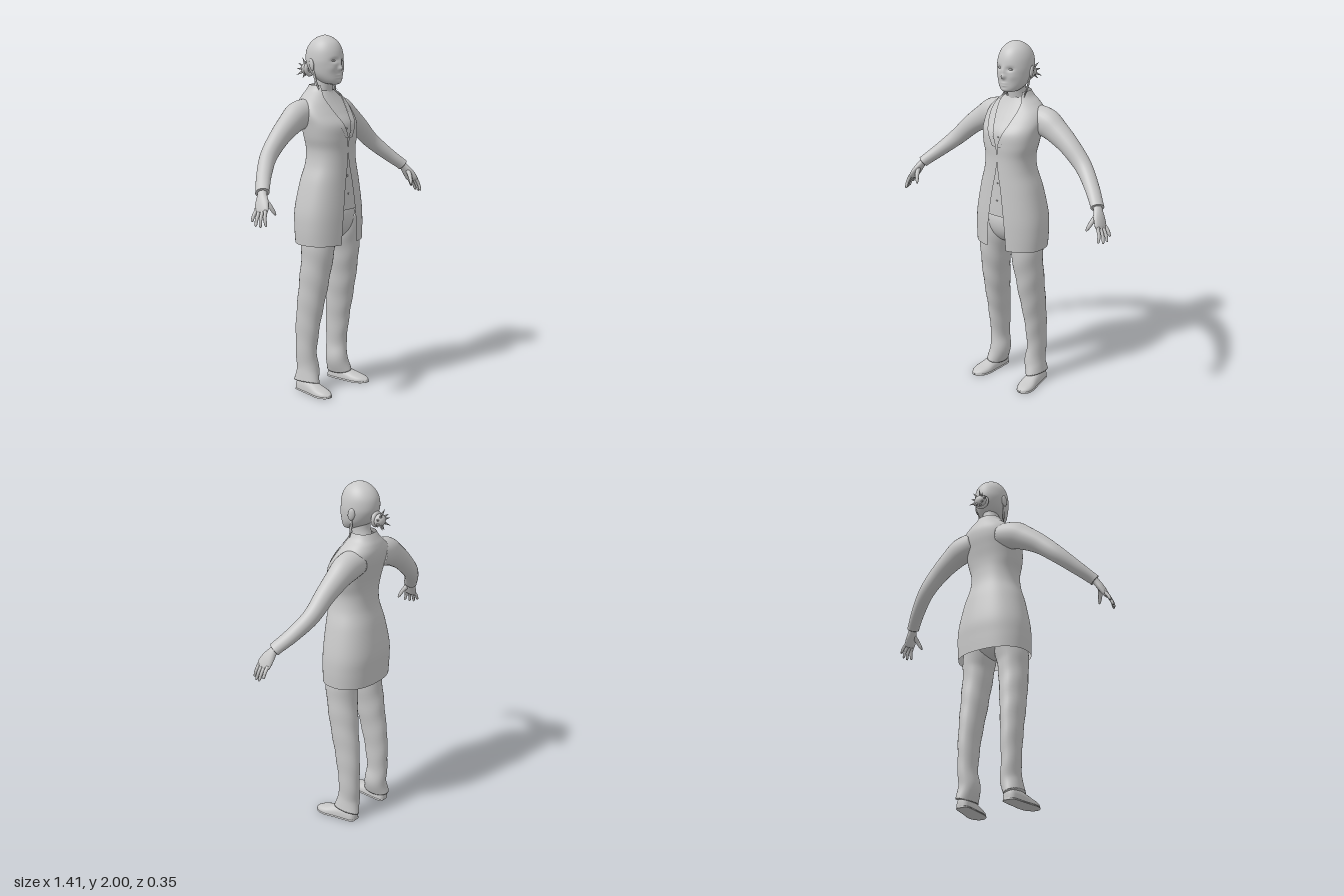
import * as THREE from 'three';

const skinAndCloth = new THREE.MeshStandardMaterial({ color: 0xc8c8c8, side: THREE.DoubleSide });
skinAndCloth.name = 'plain grey';
const V = (x, y, z) => new THREE.Vector3(x, y, z);
const spow = (v, e) => Math.sign(v) * Math.pow(Math.abs(v), e);

function part(name, geometry, parent) {
  const mesh = new THREE.Mesh(geometry, skinAndCloth);
  mesh.name = name;
  parent.add(mesh);
  return mesh;
}

// Smooth interpolation between the rows of a small section table
function sample(rows, u) {
  const i = Math.min(Math.floor(u), rows.length - 2), t = u - i;
  const row = k => rows[Math.max(0, Math.min(rows.length - 1, k))];
  return rows[0].map((_, c) => {
    const [a, b, d, e] = [row(i - 1)[c], row(i)[c], row(i + 1)[c], row(i + 2)[c]];
    return b + 0.5 * t * (d - a + t * (2 * a - 5 * b + 4 * d - e + t * (3 * (b - d) + e - a)));
  });
}

// Skin a list of point rings; closed rings wrap round, caps fill both ends
function loft(rings, closed = true, caps = closed) {
  const n = rings[0].length, pos = [], idx = [];
  rings.forEach(r => r.forEach(p => pos.push(p.x, p.y, p.z)));
  for (let i = 0; i < rings.length - 1; i++) {
    for (let j = 0; j < (closed ? n : n - 1); j++) {
      const k = (j + 1) % n, a = i * n, b = a + n;
      idx.push(a + j, a + k, b + k, a + j, b + k, b + j);
    }
  }
  if (caps) {
    [0, rings.length - 1].forEach(r => {
      const mid = rings[r].reduce((s, p) => s.add(p), V(0, 0, 0)).divideScalar(n);
      const m = pos.length / 3;
      pos.push(mid.x, mid.y, mid.z);
      for (let j = 0; j < n; j++) {
        const a = r * n + j, b = r * n + (j + 1) % n;
        r ? idx.push(m, a, b) : idx.push(m, b, a);
      }
    });
  }
  const g = new THREE.BufferGeometry();
  g.setAttribute('position', new THREE.Float32BufferAttribute(pos, 3));
  g.setIndex(idx);
  g.computeVertexNormals();
  return g;
}

// Tapered limb through rows of [x, y, z, depth radius, width radius]
function limb(rows, sides = 20, steps = 6, wrinkle = 0) {
  const count = (rows.length - 1) * steps, rings = [];
  for (let i = 0; i <= count; i++) {
    const u = i / steps, [x, y, z, rd, rw] = sample(rows, u);
    const p = sample(rows, Math.max(0, u - 0.1)), q = sample(rows, Math.min(rows.length - 1, u + 0.1));
    const t = V(q[0] - p[0], q[1] - p[1], q[2] - p[2]).normalize();
    const n1 = V(0, 0, 1).addScaledVector(t, -t.z).normalize(), n2 = t.clone().cross(n1);
    rings.push(Array.from({ length: sides }, (_, j) => {
      const a = j / sides * Math.PI * 2;
      const w = 1 + wrinkle * Math.sin(y * 42 + 2 * Math.sin(a));
      return V(x, y, z).addScaledVector(n1, Math.cos(a) * rd * w).addScaledVector(n2, Math.sin(a) * rw * w);
    }));
  }
  return loft(rings);
}

// Torso sections: y, half width, front z, back z, half width of the jacket opening
const torso = [
  [0.86, 0.212, 0.175, -0.13, 0.066], [0.95, 0.216, 0.176, -0.135, 0.06],
  [1.05, 0.21, 0.175, -0.137, 0.05], [1.2, 0.178, 0.168, -0.115, 0.028],
  [1.3, 0.147, 0.163, -0.092, 0.008], [1.38, 0.14, 0.16, -0.088, 0.001],
  [1.45, 0.157, 0.162, -0.095, 0.006], [1.52, 0.168, 0.155, -0.112, 0.03],
  [1.58, 0.175, 0.115, -0.127, 0.052], [1.63, 0.16, 0.08, -0.131, 0.066],
  [1.67, 0.12, 0.055, -0.122, 0.07], [1.7, 0.085, 0.04, -0.108, 0.06],
  [1.73, 0.068, 0.03, -0.092, 0.055],
];
const E = 0.87;
function torsoPoint([y, rx, zf, zb], a, off) {
  const cz = zb + (zf - zb) * 0.52, c = Math.cos(a);
  return V((rx + off) * spow(Math.sin(a), E), y, cz + ((c > 0 ? zf - cz : cz - zb) + off) * spow(c, E));
}
const angleAt = (row, x) => Math.asin(Math.pow(Math.min(0.98, Math.max(0.001, x) / row[1]), 1 / E));

// Strip of torso surface from u0 to u1 between two angles given per row
function torsoStrip(u0, u1, range, off, columns) {
  const rings = [];
  for (let i = 0; i <= 70; i++) {
    const u = u0 + (u1 - u0) * i / 70, row = sample(torso, u), [a, b] = range(row, i / 70);
    rings.push(Array.from({ length: columns + 1 }, (_, j) => torsoPoint(row, a + (b - a) * j / columns, off)));
  }
  return loft(rings, false);
}

function buildClothes(g) {
  part('jacket', torsoStrip(0, 12, r => [angleAt(r, r[4]), Math.PI * 2 - angleAt(r, r[4])], 0, 72), g);
  part('shirt', torsoStrip(2, 11, () => [0, Math.PI * 2], -0.01, 56), g);
  part('trouserTop', new THREE.SphereGeometry(1, 32, 20).scale(0.17, 0.14, 0.128).translate(0, 1.0, 0.025), g);
  // Shirt buttons
  for (const [y, z] of [[1.5, 0.15], [1.24, 0.157], [1.14, 0.163]]) {
    part('shirtButton', new THREE.SphereGeometry(0.005, 8, 6).translate(0, y, z), g);
  }
}

// Head sections: y, half width, front z, back z
const skull = [
  [1.735, 0.018, 0.08, 0.03], [1.742, 0.045, 0.092, 0.0], [1.76, 0.065, 0.099, -0.04],
  [1.79, 0.083, 0.1, -0.078], [1.83, 0.093, 0.102, -0.105], [1.87, 0.096, 0.104, -0.117],
  [1.92, 0.089, 0.096, -0.112], [1.96, 0.07, 0.075, -0.087], [1.988, 0.04, 0.038, -0.048],
  [2.0, 0.006, 0.002, -0.01],
];
// Face relief: x, y, x spread, y spread, height
const relief = [
  [0, 1.823, 0.011, 0.012, 0.019], [0, 1.848, 0.009, 0.024, 0.009], [0.036, 1.866, 0.018, 0.011, -0.011],
  [-0.036, 1.866, 0.018, 0.011, -0.011], [0, 1.787, 0.018, 0.005, 0.005], [0, 1.774, 0.016, 0.005, 0.005],
  [0, 1.75, 0.02, 0.009, 0.004], [0.05, 1.825, 0.02, 0.02, 0.004], [-0.05, 1.825, 0.02, 0.02, 0.004],
];

function buildHead(g) {
  const rings = [];
  for (let i = 0; i <= 63; i++) {
    const [y, rx, zf, zb] = sample(skull, i / 7), cz = (zf + zb) / 2;
    rings.push(Array.from({ length: 72 }, (_, j) => {
      const a = j / 72 * Math.PI * 2, p = V(rx * Math.sin(a), y, cz + (zf - cz) * Math.cos(a));
      if (Math.cos(a) > 0) for (const [x0, y0, sx, sy, h] of relief)
        p.z += h * Math.exp(-(((p.x - x0) / sx) ** 2) - ((y - y0) / sy) ** 2);
      return p;
    }));
  }
  part('head', loft(rings), g);
  part('neck', limb([[0, 1.6, -0.04, 0.065, 0.065], [0, 1.68, -0.025, 0.057, 0.056],
    [0, 1.74, -0.012, 0.052, 0.05], [0, 1.8, -0.005, 0.06, 0.055]], 28), g);

  // Gathered hair: round bun, tie and loose pointed ends
  part('bun', new THREE.SphereGeometry(0.034, 20, 14).scale(1.1, 1, 0.9).translate(0, 1.81, -0.135), g);
  const tie = part('hairTie', new THREE.TorusGeometry(0.032, 0.012, 8, 20), g);
  tie.position.set(0, 1.812, -0.115);
  for (let i = 0; i < 9; i++) {
    const a = i / 9 * Math.PI * 2 + 0.3, len = 0.05 + 0.012 * (i % 3);
    const tip = part('looseHairEnd', new THREE.ConeGeometry(0.015, len, 5), g);
    const dir = V(Math.cos(a), Math.sin(a), -0.5 - 0.3 * (i % 2)).normalize();
    tip.quaternion.setFromUnitVectors(V(0, 1, 0), dir);
    tip.position.set(0, 1.81, -0.13).addScaledVector(dir, 0.036);
  }
}

function buildSide(g) {
  // Lapel and shirt collar flap
  part('lapel', torsoStrip(6, 11.6, (r, t) => {
    const a = angleAt(r, r[4]);
    return [a, a + 0.03 + 0.26 * Math.sin(Math.PI * Math.min(1, 0.1 + t * 0.75))];
  }, 0.006, 8), g);
  const collar = [];
  for (const [y, rx, rz, dip] of [[1.715, 0.06, 0.056, 0.02], [1.7, 0.07, 0.066, 0.028], [1.675, 0.082, 0.08, 0.03]]) {
    collar.push(Array.from({ length: 21 }, (_, j) => {
      const a = 0.25 + (Math.PI - 0.25) * j / 20, f = Math.max(0, Math.cos(a));
      return V(rx * Math.sin(a), y - dip * f, -0.022 + rz * Math.cos(a));
    }));
  }
  part('shirtCollar', loft(collar, false), g);

  // Ear, eye and loose strand of hair
  const ear = part('ear', new THREE.SphereGeometry(1, 14, 12).scale(0.01, 0.034, 0.02), g);
  ear.position.set(0.094, 1.842, -0.02);
  ear.rotation.set(-0.2, 0.35, 0);
  part('eye', new THREE.SphereGeometry(1, 14, 10).scale(0.014, 0.006, 0.008).translate(0.035, 1.865, 0.085), g);
  part('hairStrand', limb([[0.088, 1.82, -0.015, 0.007, 0.004], [0.08, 1.76, -0.005, 0.008, 0.004],
    [0.068, 1.7, 0.015, 0.003, 0.002]], 8), g);

  // Sleeve with cuff
  part('sleeve', limb([[0.09, 1.585, -0.045, 0.075, 0.075], [0.18, 1.568, -0.046, 0.072, 0.08],
    [0.25, 1.53, -0.044, 0.063, 0.068], [0.34, 1.468, -0.038, 0.053, 0.056], [0.44, 1.378, -0.025, 0.045, 0.047],
    [0.53, 1.295, 0.025, 0.041, 0.038], [0.595, 1.235, 0.075, 0.038, 0.032], [0.61, 1.22, 0.087, 0.039, 0.032]], 28), g);

  // Hand: palm, four fingers, thumb
  part('palm', limb([[0.595, 1.235, 0.075, 0.026, 0.02], [0.615, 1.212, 0.09, 0.027, 0.02],
    [0.637, 1.175, 0.108, 0.04, 0.019], [0.655, 1.14, 0.122, 0.044, 0.015], [0.662, 1.127, 0.126, 0.038, 0.01]], 18), g);
  const tips = [[0.676, 1.066, 0.17], [0.69, 1.06, 0.146], [0.696, 1.063, 0.12], [0.693, 1.082, 0.092]];
  tips.forEach(([x, y, z], i) => {
    const b = [0.656, 1.142, 0.152 - i * 0.02];
    part('finger', limb([[...b, 0.01, 0.01],
      [(b[0] + x) / 2 + 0.007, (b[1] + y) / 2, (b[2] + z) / 2, 0.009, 0.009],
      [x, y + 0.006, z, 0.007, 0.007], [x, y, z, 0.003, 0.003]], 10, 4), g);
  });
  part('thumb', limb([[0.625, 1.19, 0.115, 0.016, 0.014], [0.612, 1.155, 0.142, 0.012, 0.012],
    [0.6, 1.125, 0.157, 0.009, 0.009], [0.594, 1.11, 0.163, 0.004, 0.004]], 10, 4), g);

  // Trouser leg with soft creases near the ankle
  part('trouserLeg', limb([[0.09, 1.0, 0.03, 0.11, 0.085], [0.105, 0.88, 0.035, 0.103, 0.09],
    [0.115, 0.78, 0.035, 0.093, 0.083], [0.125, 0.6, 0.012, 0.087, 0.071], [0.133, 0.4, -0.018, 0.077, 0.057],
    [0.135, 0.22, -0.03, 0.065, 0.051], [0.13, 0.12, -0.022, 0.07, 0.056], [0.146, 0.05, -0.018, 0.083, 0.051]], 30, 8, 0.018), g);

  // Shoe sections from heel to toe: z, centre x, half width, height
  const shoe = [[-0.086, 0.142, 0.018, 0.04], [-0.07, 0.143, 0.035, 0.065], [-0.02, 0.147, 0.041, 0.075],
    [0.04, 0.154, 0.045, 0.062], [0.1, 0.162, 0.05, 0.042], [0.145, 0.167, 0.04, 0.03], [0.174, 0.17, 0.014, 0.018]];
  const shell = (y0, grow, height) => loft(Array.from({ length: 37 }, (_, i) => {
    const [z, cx, w, h] = sample(shoe, i / 6);
    return Array.from({ length: 20 }, (_, j) => {
      const a = j / 20 * Math.PI * 2, s = Math.sin(a);
      return V(cx + (w + grow) * spow(Math.cos(a), 0.8), y0 + (s > 0 ? (height || h - y0) * spow(s, 0.8) : 0), z);
    });
  }));
  part('shoe', shell(0.008, 0, 0), g);
  part('shoeSole', shell(0, 0.003, 0.012), g);
}

export function createModel() {
  const model = new THREE.Group();
  model.name = 'standingWoman';
  buildClothes(model);
  buildHead(model);
  for (const [name, s] of [['leftSide', 1], ['rightSide', -1]]) {
    const side = new THREE.Group();
    side.name = name;
    side.scale.x = s;
    buildSide(side);
    model.add(side);
  }
  return model;
}
